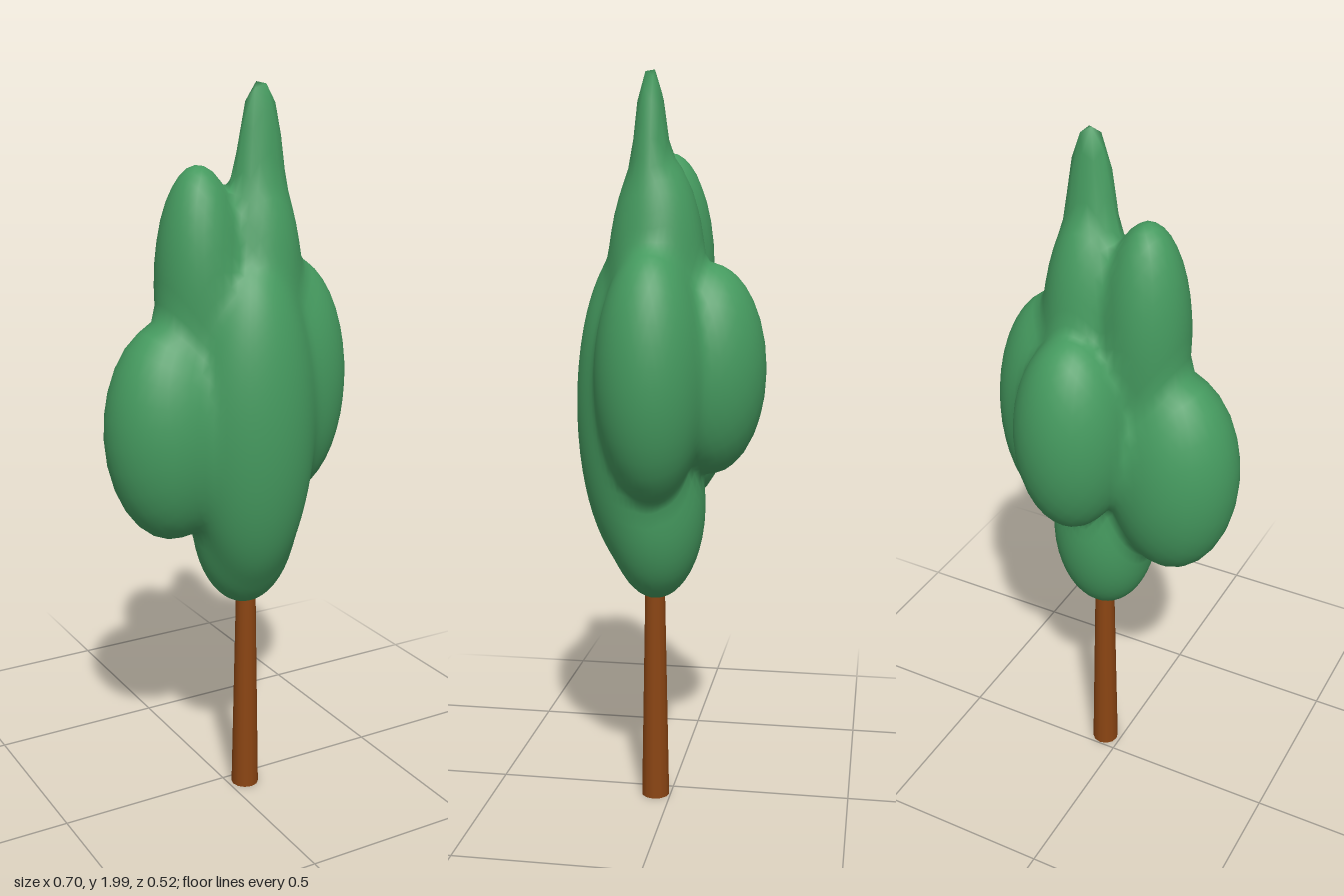
import * as THREE from 'three';
import { mergeVertices } from 'three/addons/utils/BufferGeometryUtils.js';

// Foliage lobes: centre and radii of overlapping ellipsoids
const lobes = [
  { c: [-0.17, 1.1, 0.02], r: [0.182, 0.3, 0.16] },    // right side
  { c: [0.185, 1.21, 0.03], r: [0.163, 0.33, 0.145] }, // left side
  { c: [0.065, 1.22, -0.11], r: [0.155, 0.28, 0.15] }, // back
  { c: [0.03, 1.11, 0.105], r: [0.175, 0.44, 0.152] }, // front
  { c: [0.045, 0.84, 0.04], r: [0.15, 0.26, 0.135] },  // bottom
  { c: [-0.085, 1.48, 0.02], r: [0.115, 0.31, 0.12] }, // upper right
  { c: [0.08, 1.45, 0.03], r: [0.125, 0.34, 0.13] },   // upper left
  { c: [0.083, 1.69, 0.045], r: [0.071, 0.31, 0.05] }, // spire
].map(({ c, r }) => ({ c: new THREE.Vector3(...c), r: new THREE.Vector3(...r) }));

// Smoothly blended distance to all lobes (negative inside)
const q = new THREE.Vector3(), g = new THREE.Vector3();
function field(p) {
  const k = 0.012;
  let sum = 0;
  for (const { c, r } of lobes) {
    q.subVectors(p, c).divide(r);
    g.copy(q).divide(r);
    const len = q.length();
    const d = len * (len - 1) / Math.max(g.length(), 1e-6);
    sum += Math.exp(-Math.max(d, -0.5) / k);
  }
  return -k * Math.log(sum + 1e-300);
}

// Shrink-wrap a stretched sphere onto the blended lobes
function foliageGeometry() {
  let geo = new THREE.IcosahedronGeometry(1, 13);
  geo.deleteAttribute('uv');
  geo.deleteAttribute('normal');
  geo = mergeVertices(geo, 1e-4);
  const centre = new THREE.Vector3(0.045, 1.15, 0.035);
  const stretch = new THREE.Vector3(0.3, 0.7, 0.25);
  const pos = geo.attributes.position;
  const dir = new THREE.Vector3(), p = new THREE.Vector3();
  const at = (t) => field(p.copy(centre).addScaledVector(dir, t));
  for (let i = 0; i < pos.count; i++) {
    dir.fromBufferAttribute(pos, i).multiply(stretch);
    let outer = 2;
    while (outer > 0.05 && at(outer) > 0) outer -= 0.02;
    let inner = outer;
    outer += 0.02;
    for (let n = 0; n < 12; n++) {
      const mid = (inner + outer) / 2;
      if (at(mid) > 0) outer = mid; else inner = mid;
    }
    p.copy(centre).addScaledVector(dir, inner);
    pos.setXYZ(i, p.x, p.y, p.z);
  }
  geo.computeVertexNormals();
  return geo;
}

export function createModel() {
  const leafGreen = new THREE.MeshStandardMaterial({ color: 0x459a5f });
  leafGreen.name = 'leafGreen';
  const barkBrown = new THREE.MeshStandardMaterial({ color: 0x8b4513 });
  barkBrown.name = 'barkBrown';

  const tree = new THREE.Group();
  tree.name = 'tree';

  // Tapered trunk, running up into the foliage
  const trunk = new THREE.Mesh(new THREE.CylinderGeometry(0.026, 0.039, 0.7, 12), barkBrown);
  trunk.name = 'trunk';
  trunk.position.set(0.05, 0.35, 0.043);

  const foliage = new THREE.Mesh(foliageGeometry(), leafGreen);
  foliage.name = 'foliage';

  tree.add(trunk, foliage);
  return tree;
}
